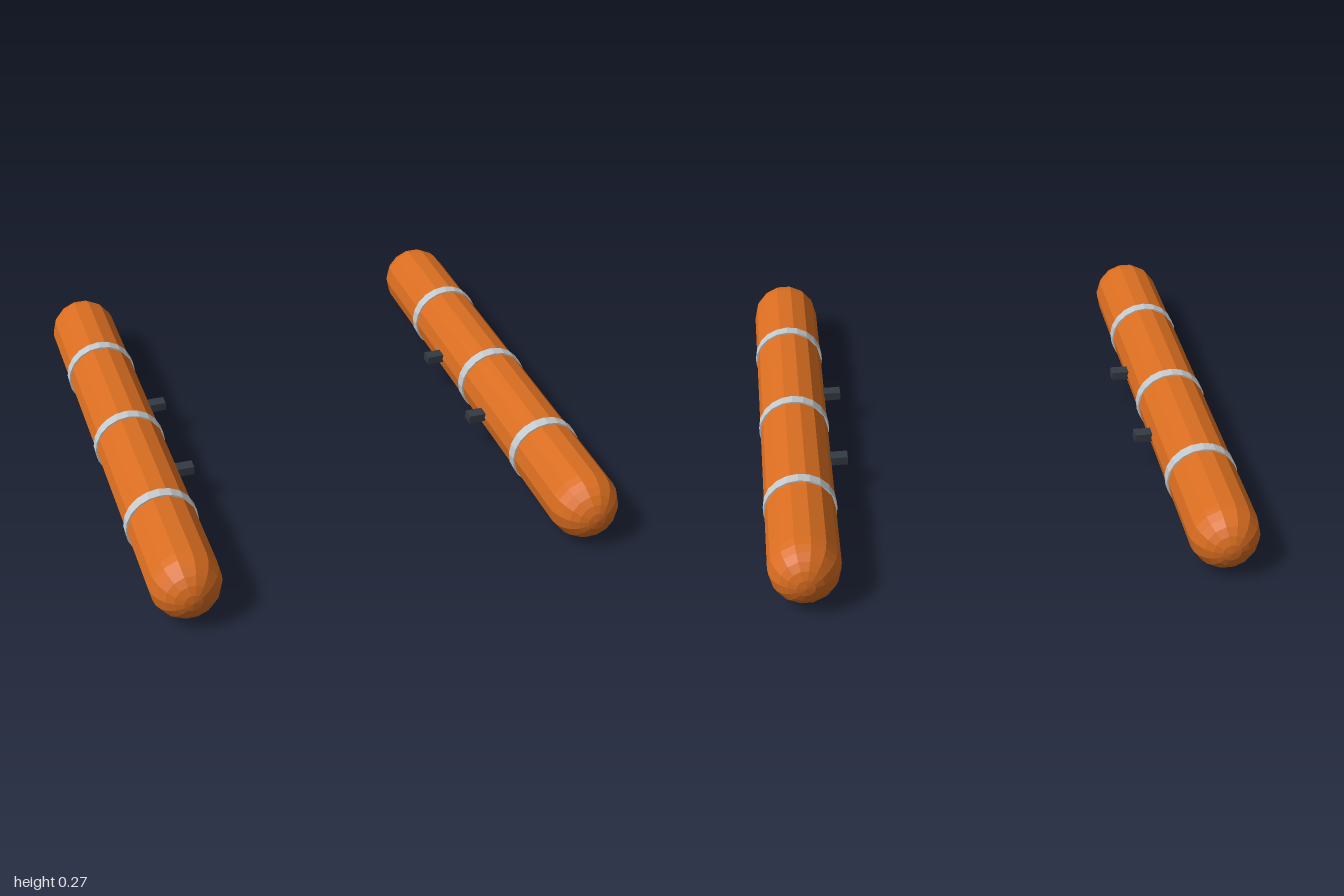
import * as THREE from 'three';

const RADIUS = 0.13, LENGTH = 2, AXIS_X = 0.747, AXIS_Y = 0.135;

export function createModel() {
  const orange = new THREE.MeshStandardMaterial({ name: 'floatOrange', color: 0xd96d20, flatShading: true });
  const silver = new THREE.MeshStandardMaterial({ name: 'bandSilver', color: 0xc4c8ca, flatShading: true });
  const dark = new THREE.MeshStandardMaterial({ name: 'bracketCharcoal', color: 0x343a42, flatShading: true });

  // Shared geometries, laid along z
  const tubeGeo = new THREE.CapsuleGeometry(RADIUS, LENGTH - 2 * RADIUS, 6, 14).rotateX(Math.PI / 2);
  const bandGeo = new THREE.CylinderGeometry(0.135, 0.135, 0.042, 20).rotateX(Math.PI / 2);
  const bracketGeo = new THREE.BoxGeometry(0.09, 0.032, 0.046);

  const model = new THREE.Group();
  model.name = 'twinFloats';

  const add = (parent, name, geometry, material, x, y, z) => {
    const mesh = new THREE.Mesh(geometry, material);
    mesh.name = name;
    mesh.position.set(x, y, z);
    parent.add(mesh);
  };

  for (const side of [-1, 1]) {
    const float = new THREE.Group();
    float.name = side > 0 ? 'leftFloat' : 'rightFloat';
    float.position.set(side * AXIS_X, AXIS_Y, 0);

    // Round-ended float tube
    add(float, 'floatTube', tubeGeo, orange, 0, 0, 0);

    // Three bands around the tube
    for (const z of [-0.524, 0, 0.524]) add(float, 'band', bandGeo, silver, 0, 0, z);

    // Two mounting brackets on the inner side
    for (const z of [-0.228, 0.228]) add(float, 'bracket', bracketGeo, dark, -side * 0.148, 0, z);

    model.add(float);
  }
  return model;
}
